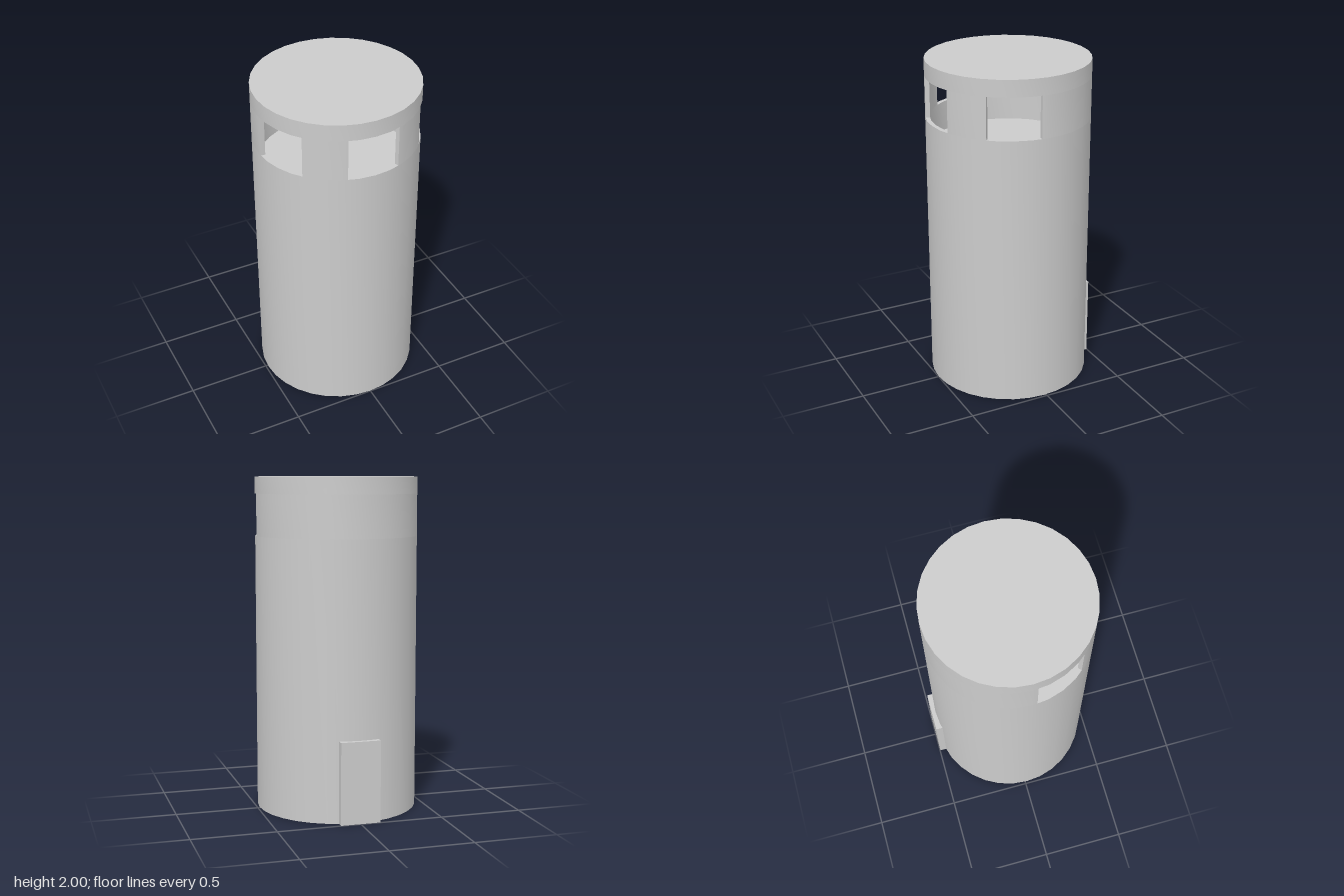
import * as THREE from 'three';
import { toCreasedNormals } from 'three/addons/utils/BufferGeometryUtils.js';

const SIDES = 32, STEP = (Math.PI * 2) / SIDES;
const OUTER = 0.486, INNER = 0.46;
const SILL = 1.65, LINTEL = 1.9, FLOOR = 1.47, CEILING = 1.96, TOP = 2;
const deg = THREE.MathUtils.degToRad;

// Point on the 32-sided ring at an angle from the front
function ringPoint(radius, angle) {
  const offset = angle - (Math.floor(angle / STEP + 1e-6) + 0.5) * STEP;
  const r = (radius * Math.cos(STEP / 2)) / Math.cos(offset);
  return new THREE.Vector2(r * Math.sin(angle), -r * Math.cos(angle));
}

function latheFrom(profile) {
  const points = profile.map(([x, y]) => new THREE.Vector2(x, y));
  return toCreasedNormals(new THREE.LatheGeometry(points, SIDES), 0.5);
}

// Curved piece of wall between two window openings
function wallPiece(from, to) {
  const angles = [from];
  for (let k = Math.floor(from / STEP) + 1; k * STEP < to - 1e-4; k++) angles.push(k * STEP);
  angles.push(to);
  const outline = [
    ...angles.map((a) => ringPoint(OUTER, a)),
    ...angles.slice().reverse().map((a) => ringPoint(INNER, a)),
  ];
  const geo = new THREE.ExtrudeGeometry(new THREE.Shape(outline), {
    depth: LINTEL - SILL, bevelEnabled: false,
  });
  geo.rotateX(-Math.PI / 2).translate(0, SILL, 0);
  return toCreasedNormals(geo, 0.5);
}

export function createModel() {
  const model = new THREE.Group();
  model.name = 'cylindricalBooth';
  const material = new THREE.MeshStandardMaterial({ color: 0xcccccc });
  const add = (name, geometry, z) => {
    const mesh = new THREE.Mesh(geometry, material);
    mesh.name = name;
    mesh.position.z = z;
    model.add(mesh);
  };
  const centreZ = 0.012;

  // Body with a sunken floor below the windows
  add('body', latheFrom([
    [0, 0], [OUTER, 0], [OUTER, SILL], [INNER, SILL], [INNER, FLOOR], [0, FLOOR],
  ]), centreZ);

  // Roof cap with the band above the windows
  add('roof', latheFrom([
    [0, CEILING], [INNER, CEILING], [INNER, LINTEL], [OUTER, LINTEL], [OUTER, TOP], [0, TOP],
  ]), centreZ);

  // Walls between the three windows: two front pillars and the back wall
  add('leftPillar', wallPiece(deg(18.7), deg(48.8)), centreZ);
  add('rightPillar', wallPiece(deg(311.2), deg(341.3)), centreZ);
  add('backWall', wallPiece(deg(86.2), deg(273.8)), centreZ);

  // Low door block set into the back
  const door = new THREE.BoxGeometry(0.24, 0.49, 0.16);
  door.translate(0, 0.245, 0);
  add('backDoor', door, -0.418);

  return model;
}
